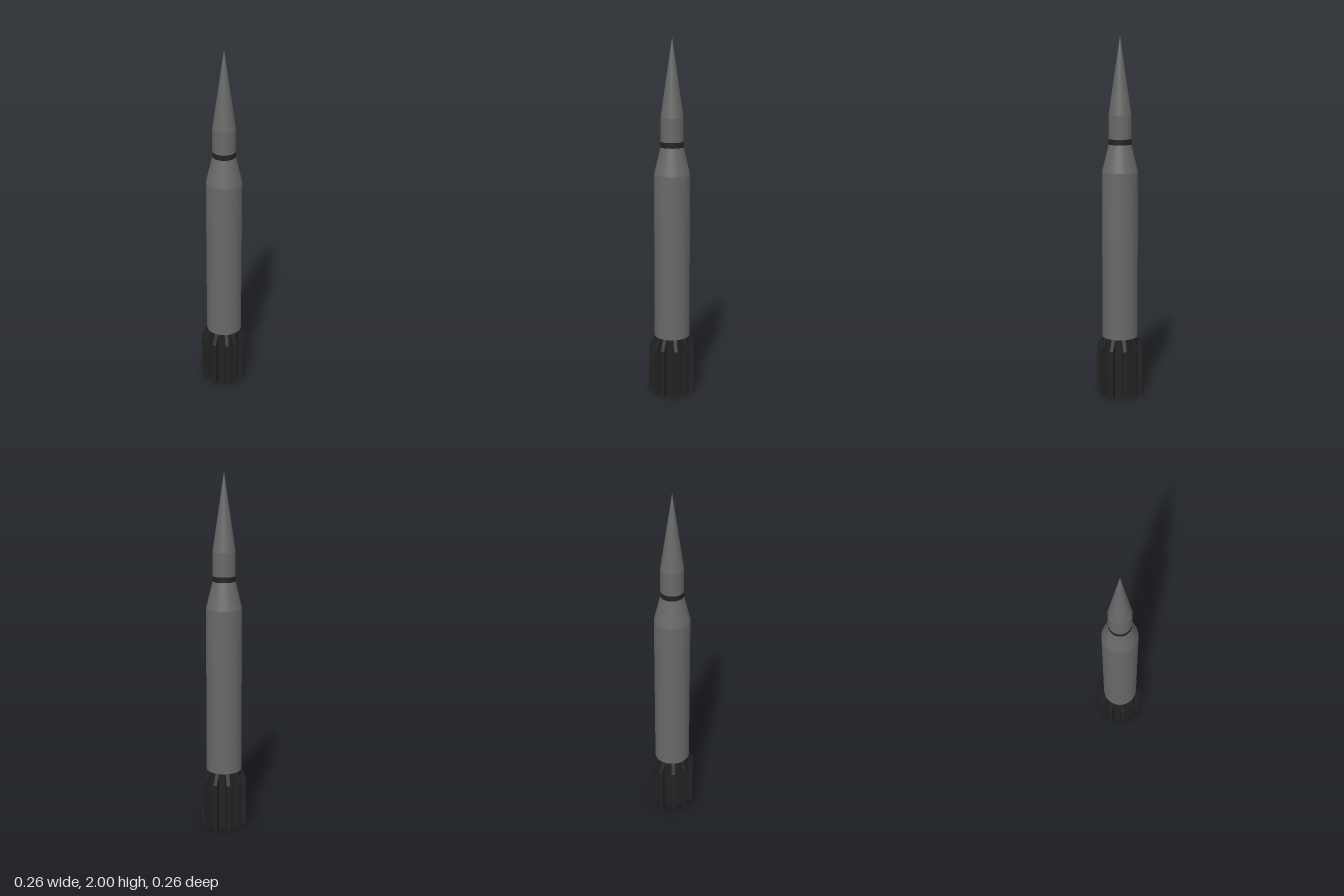
import * as THREE from 'three';

export function createModel() {
  const group = new THREE.Group();
  const material = (name, color) => {
    const m = new THREE.MeshStandardMaterial({ color });
    m.name = name;
    return m;
  };
  const grey = material('hull grey', 0x686868);
  const black = material('fin black', 0x222222);

  // Round section from y0 (radius r0) up to y1 (radius r1)
  function section(name, y0, r0, y1, r1, mat, open = true) {
    const geo = new THREE.CylinderGeometry(r1, r0, y1 - y0, 48, 1, open);
    const mesh = new THREE.Mesh(geo, mat);
    mesh.position.y = (y0 + y1) / 2;
    mesh.name = name;
    group.add(mesh);
  }
  section('tailSleeve', 0, 0.099, 0.33, 0.099, black, false);
  section('body', 0.33, 0.099, 1.26, 0.099, grey);
  section('shoulder', 1.26, 0.099, 1.41, 0.063, grey);
  section('neckBand', 1.41, 0.063, 1.44, 0.063, black);
  section('neck', 1.44, 0.063, 1.57, 0.063, grey);
  section('noseCone', 1.57, 0.063, 2, 0, grey);

  // Eleven tail fins, with one narrower gap where the spacing closes
  const profile = new THREE.Shape([
    [0.07, 0], [0.13, 0], [0.13, 0.27], [0.099, 0.33], [0.07, 0.33],
  ].map(([x, y]) => new THREE.Vector2(x, y)));
  const finGeometry = new THREE.ExtrudeGeometry(profile, { depth: 0.02, bevelEnabled: false });
  finGeometry.translate(0, 0, -0.01);
  for (let i = 0; i < 11; i++) {
    const fin = new THREE.Mesh(finGeometry, black);
    fin.rotation.y = THREE.MathUtils.degToRad(33.75 * (i - 2.5));
    fin.name = `tailFin${i + 1}`;
    group.add(fin);
  }
  return group;
}
